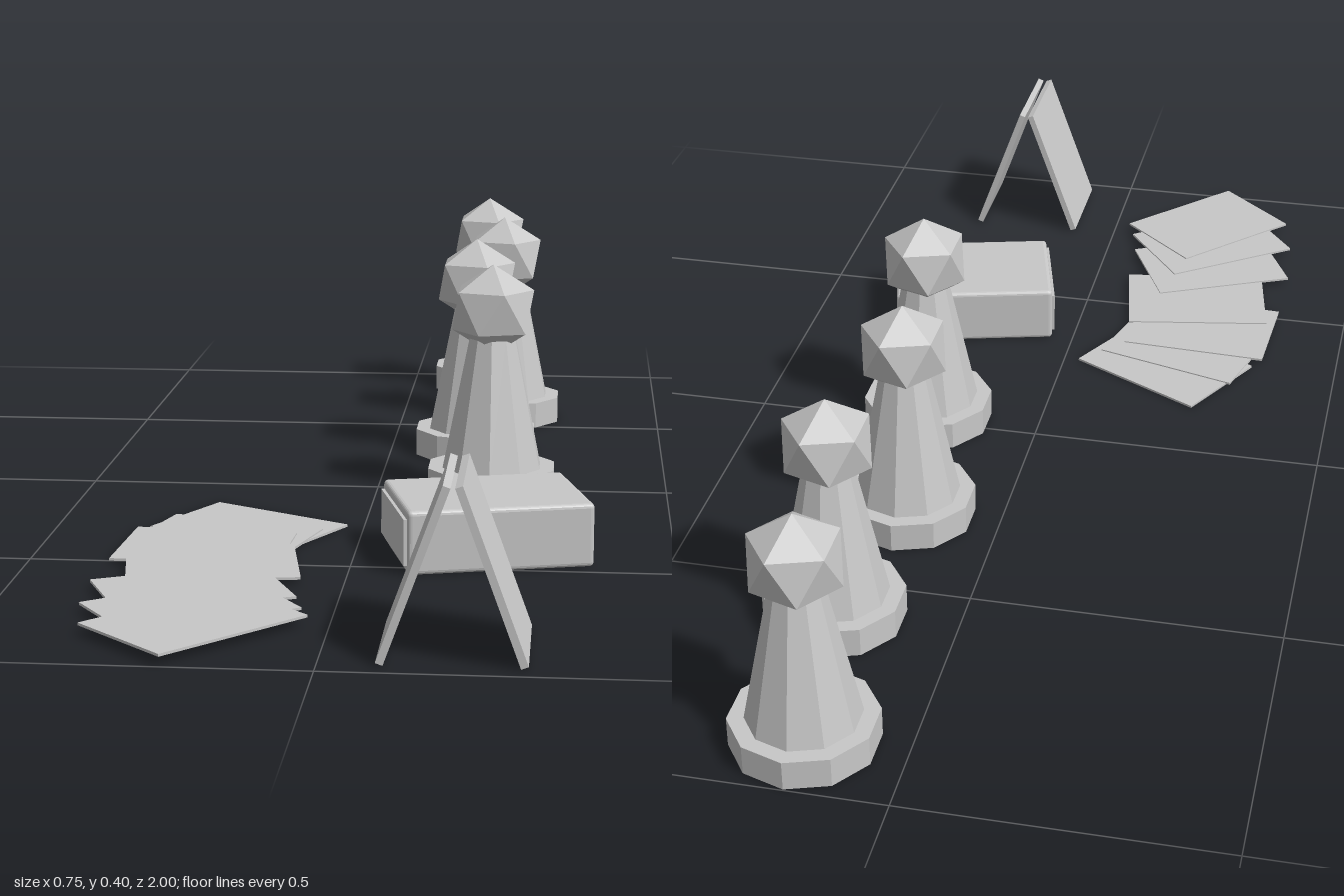
import * as THREE from 'three';
import { RoundedBoxGeometry } from 'three/addons/geometries/RoundedBoxGeometry.js';

const CARD_LENGTH = 0.262, CARD_WIDTH = 0.187;

export function createModel() {
  const grey = new THREE.MeshStandardMaterial({ color: 0xc8c8c8, flatShading: true });
  grey.name = 'plain grey';
  const model = new THREE.Group();
  model.name = 'boardGamePieces';

  function add(parent, name, geometry, x = 0, y = 0, z = 0) {
    const mesh = new THREE.Mesh(geometry, grey);
    mesh.name = name;
    mesh.position.set(x, y, z);
    parent.add(mesh);
    return mesh;
  }

  // Pawns: ten-sided foot and tapered body with a faceted head
  const foot = new THREE.CylinderGeometry(0.113, 0.113, 0.048, 10);
  const body = new THREE.CylinderGeometry(0.04, 0.088, 0.232, 10);
  const head = new THREE.IcosahedronGeometry(0.078, 0);
  head.rotateZ(-Math.atan(2 / (1 + Math.sqrt(5)))); // one corner straight up
  [[0.198, -0.015], [0.157, -0.285], [0.198, -0.585], [0.157, -0.885]].forEach(([x, z], i) => {
    const pawn = new THREE.Group();
    pawn.name = 'pawn' + (i + 1);
    pawn.position.set(x, 0, i === 0 ? 0.018 : z);
    add(pawn, 'foot', foot, 0, 0.027, 0);
    add(pawn, 'body', body, 0, 0.164, 0);
    add(pawn, 'head', head, 0, 0.323, 0);
    model.add(pawn);
  });

  // Card box lying flat, with a closing flap on its left end
  const cardBox = new THREE.Group();
  cardBox.name = 'cardBox';
  cardBox.position.set(0.206, 0.053, 0.405);
  cardBox.rotation.y = THREE.MathUtils.degToRad(14.8);
  add(cardBox, 'carton', new RoundedBoxGeometry(0.292, 0.1, 0.212, 2, 0.007));
  add(cardBox, 'endFlap', new THREE.BoxGeometry(0.008, 0.072, 0.196), -0.147, 0, 0);
  model.add(cardBox);

  // Two cards leaning together
  const tent = new THREE.Group();
  tent.name = 'leaningCards';
  tent.position.set(0.182, 0.128, 0.877);
  for (const side of [-1, 1]) {
    const card = add(tent, side < 0 ? 'rightCard' : 'leftCard',
      new THREE.BoxGeometry(0.011, 0.262, CARD_WIDTH), side * 0.053, 0, 0);
    card.rotation.z = side * THREE.MathUtils.degToRad(20);
  }
  model.add(tent);

  // Fan of overlapping cards: x, z and turn in degrees
  const fan = new THREE.Group();
  fan.name = 'cardFan';
  const cardGeometry = new THREE.BoxGeometry(CARD_LENGTH, 0.004, CARD_WIDTH);
  [
    [-0.187, 0.288, -28.5], [-0.215, 0.36, -16], [-0.237, 0.428, -3], [-0.21, 0.53, 10],
    [-0.217, 0.675, 25], [-0.205, 0.766, 36], [-0.188, 0.838, 47],
  ].forEach(([x, z, turn], i) => {
    const card = add(fan, 'fanCard' + (i + 1), cardGeometry, x, 0.005 + i * 0.0022, z);
    card.rotation.y = THREE.MathUtils.degToRad(turn);
  });
  model.add(fan);

  return model;
}
